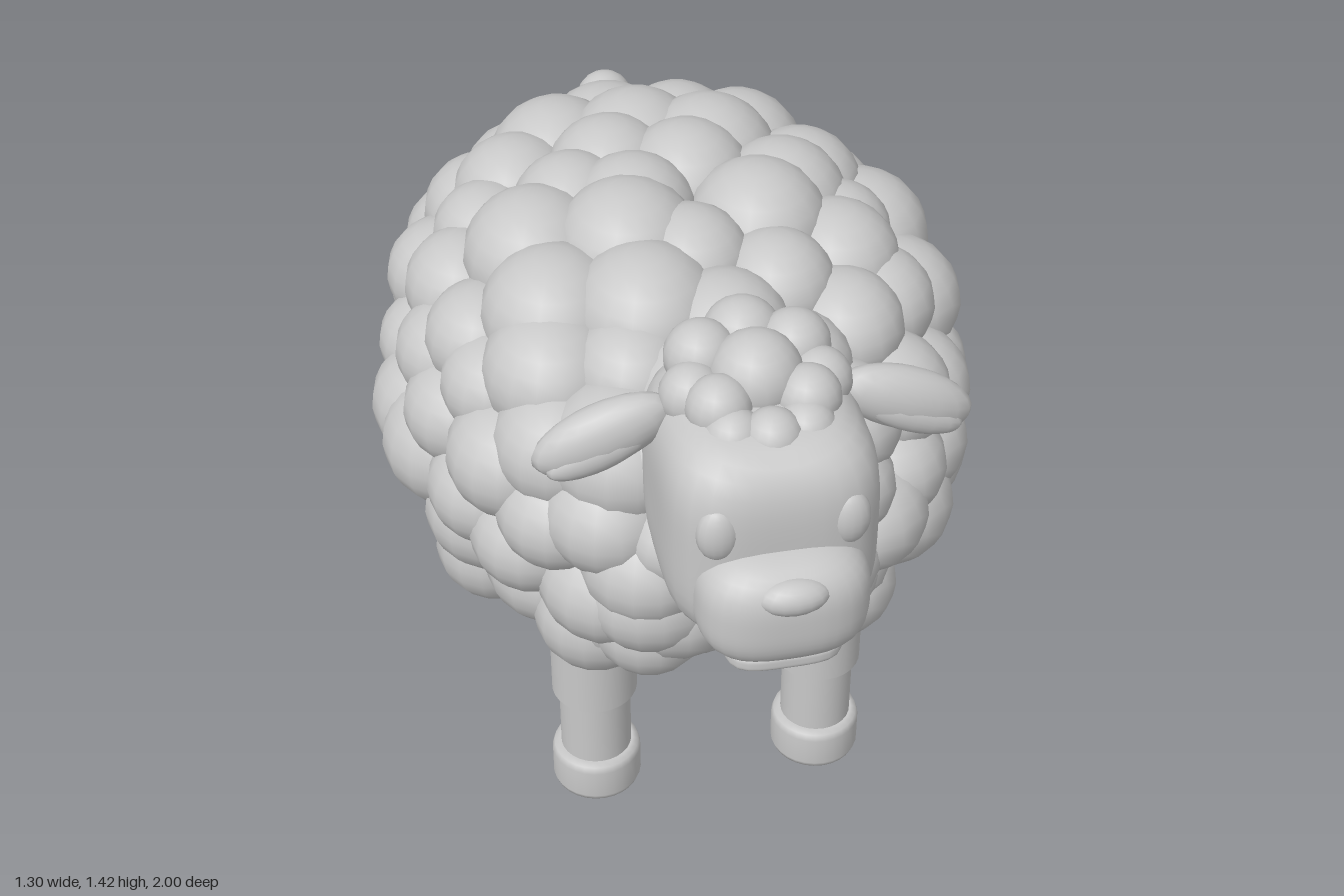
import * as THREE from 'three';
import { mergeVertices } from 'three/addons/utils/BufferGeometryUtils.js';

export function createModel() {
  const model = new THREE.Group();
  model.name = 'sheep';
  const grey = new THREE.MeshStandardMaterial({ color: 0xc8c8c8 });
  grey.name = 'plain grey';

  const ball = new THREE.SphereGeometry(1, 16, 12);
  const group = (name, parent = model) => {
    const g = new THREE.Group();
    g.name = name;
    parent.add(g);
    return g;
  };
  const add = (name, geometry, x, y, z, parent) => {
    const m = new THREE.Mesh(geometry, grey);
    m.name = name;
    m.position.set(x, y, z);
    parent.add(m);
    return m;
  };
  const blob = (name, x, y, z, rx, ry, rz, parent) => {
    const m = add(name, ball, x, y, z, parent);
    m.scale.set(rx, ry, rz);
    return m;
  };
  // Smooth rounded block: a higher n is boxier; an optional rule reshapes each unit point
  const softBlock = (rx, ry, rz, n, reshape = () => {}) => {
    const g = new THREE.SphereGeometry(1, 40, 28);
    g.deleteAttribute('uv');
    g.deleteAttribute('normal');
    const p = g.attributes.position;
    const v = new THREE.Vector3();
    for (let i = 0; i < p.count; i++) {
      v.fromBufferAttribute(p, i);
      v.multiplyScalar((Math.abs(v.x) ** n + Math.abs(v.y) ** n + Math.abs(v.z) ** n) ** (-1 / n));
      reshape(v);
      p.setXYZ(i, v.x * rx, v.y * ry, v.z * rz);
    }
    const merged = mergeVertices(g);
    merged.computeVertexNormals();
    return merged;
  };
  let seed = 7;
  const rand = () => (seed = (seed * 16807) % 2147483647) / 2147483647;

  // Fleece: an egg-shaped core covered with a spiral of overlapping puffs
  const fleece = group('fleece');
  blob('fleeceCore', 0, 0.83, -0.13, 0.54, 0.41, 0.69, fleece);
  const count = 150;
  for (let i = 0; i < count; i++) {
    const z = 1 - (2 * (i + 0.5)) / count;
    const ring = Math.sqrt(1 - z * z);
    const angle = i * 2.39996 + (rand() - 0.5) * 0.2;
    const c = Math.cos(angle);
    const s = Math.sin(angle);
    const r = 0.115 + 0.04 * rand();
    if (ring * s < -0.94) continue;
    // Slightly squared cross-section
    const k = ring * (Math.abs(c) ** 2.25 + Math.abs(s) ** 2.25) ** (-1 / 2.25);
    blob('woolPuff', c * k * 0.5, 0.828 + s * k * 0.375, -0.13 + z * 0.65, r, r * 0.92, r * 1.08, fleece);
  }
  // Fuller wool above the legs, at the shoulders and on the rump
  const fullness = [
    [0.25, 0.57, 0.36, 0.13], [0.16, 0.62, 0.46, 0.12], [0.3, 0.53, -0.58, 0.14],
    [0.15, 0.6, -0.76, 0.13], [0.42, 0.56, -0.28, 0.13], [0.42, 0.55, 0.08, 0.13],
  ];
  for (const s of [-1, 1]) {
    for (const [x, y, z, r] of fullness) blob('lowerPuff', s * x, y, z, r, r, r, fleece);
  }
  blob('flankPuff', 0.535, 0.87, -0.2, 0.12, 0.12, 0.13, fleece);

  // Neck and chest wool under the head
  const neck = group('neckWool');
  blob('neckCore', 0, 0.95, 0.46, 0.16, 0.2, 0.16, neck);
  blob('chestPuff', 0, 0.82, 0.59, 0.13, 0.1, 0.115, neck);
  blob('throatPuff', 0, 0.9, 0.56, 0.13, 0.08, 0.1, neck);
  for (const s of [-1, 1]) {
    blob('neckPuff', s * 0.12, 0.88, 0.53, 0.1, 0.09, 0.1, neck);
    blob('neckPuff', s * 0.14, 1.02, 0.45, 0.11, 0.11, 0.11, neck);
    blob('chestPuff', s * 0.16, 0.72, 0.5, 0.135, 0.12, 0.12, neck);
  }

  // Head: rounded block cut in at the lower back
  const head = group('head');
  add('skull', softBlock(0.195, 0.213, 0.218, 4, (v) => {
    if (v.z < 0) v.z *= 1 - 0.13 * Math.max(0, 0.4 - v.y);
  }), 0, 1.112, 0.688, head);

  // Face
  add('muzzle', softBlock(0.157, 0.115, 0.13, 3), 0, 1.027, 0.857, head);
  add('lowerLip', softBlock(0.108, 0.022, 0.09, 4), 0, 0.92, 0.865, head);
  blob('nose', 0, 1.087, 0.965, 0.064, 0.034, 0.035, head);

  for (const s of [-1, 1]) {
    const side = s > 0 ? 'left' : 'right';
    blob(side + 'Eye', s * 0.115, 1.178, 0.88, 0.04, 0.057, 0.03, head);
    // Drooping ear with a raised inner pad
    const ear = group(side + 'Ear', head);
    ear.position.set(s * 0.275, 1.245, 0.655);
    ear.rotation.z = -s * 0.38;
    blob('earShell', 0, 0, 0, 0.137, 0.062, 0.047, ear);
    blob('earInner', s * 0.02, -0.018, 0.022, 0.1, 0.035, 0.026, ear);
  }

  // Topknot: centre puffs as x, y, z, radius, then mirrored side puffs
  const topknot = group('topknot', head);
  for (const [x, y, z, r] of [[0, 1.335, 0.655, 0.085], [0, 1.34, 0.54, 0.075], [0, 1.295, 0.785, 0.055]]) {
    blob('crownPuff', x, y, z, r, r, r, topknot);
  }
  const sidePuffs = [
    [0.085, 1.34, 0.585, 0.068], [0.115, 1.31, 0.655, 0.06], [0.08, 1.32, 0.715, 0.06],
    [0.065, 1.29, 0.765, 0.055], [0.08, 1.295, 0.525, 0.06],
  ];
  for (const s of [-1, 1]) {
    for (const [x, y, z, r] of sidePuffs) blob('sidePuff', s * x, y, z, r, r, r, topknot);
  }

  // Tail puffs
  const tail = group('tail');
  blob('tailPuff', 0, 1.02, -0.93, 0.066, 0.064, 0.066, tail);
  blob('tailPuff', -0.05, 0.91, -0.905, 0.07, 0.07, 0.068, tail);
  blob('tailPuff', 0.06, 0.95, -0.895, 0.066, 0.066, 0.066, tail);

  // Legs: wide sleeve, thinner shin and rounded hoof
  const upper = new THREE.CylinderGeometry(0.092, 0.092, 0.33, 28);
  const shin = new THREE.CylinderGeometry(0.077, 0.077, 0.19, 28);
  const hoof = new THREE.LatheGeometry(
    [[0, 0], [0.08, 0], [0.092, 0.005], [0.097, 0.018], [0.097, 0.085], [0.092, 0.1], [0.08, 0.106], [0, 0.106]]
      .map(([x, y]) => new THREE.Vector2(x, y)), 28);
  for (const [end, z] of [['front', 0.27], ['back', -0.51]]) {
    for (const s of [-1, 1]) {
      const leg = group(end + (s > 0 ? 'Left' : 'Right') + 'Leg');
      leg.position.set(s * 0.248, 0, z);
      add('upperLeg', upper, 0, 0.435, 0, leg);
      add('shin', shin, 0, 0.19, 0, leg);
      add('hoof', hoof, 0, 0, 0, leg);
    }
  }
  return model;
}
